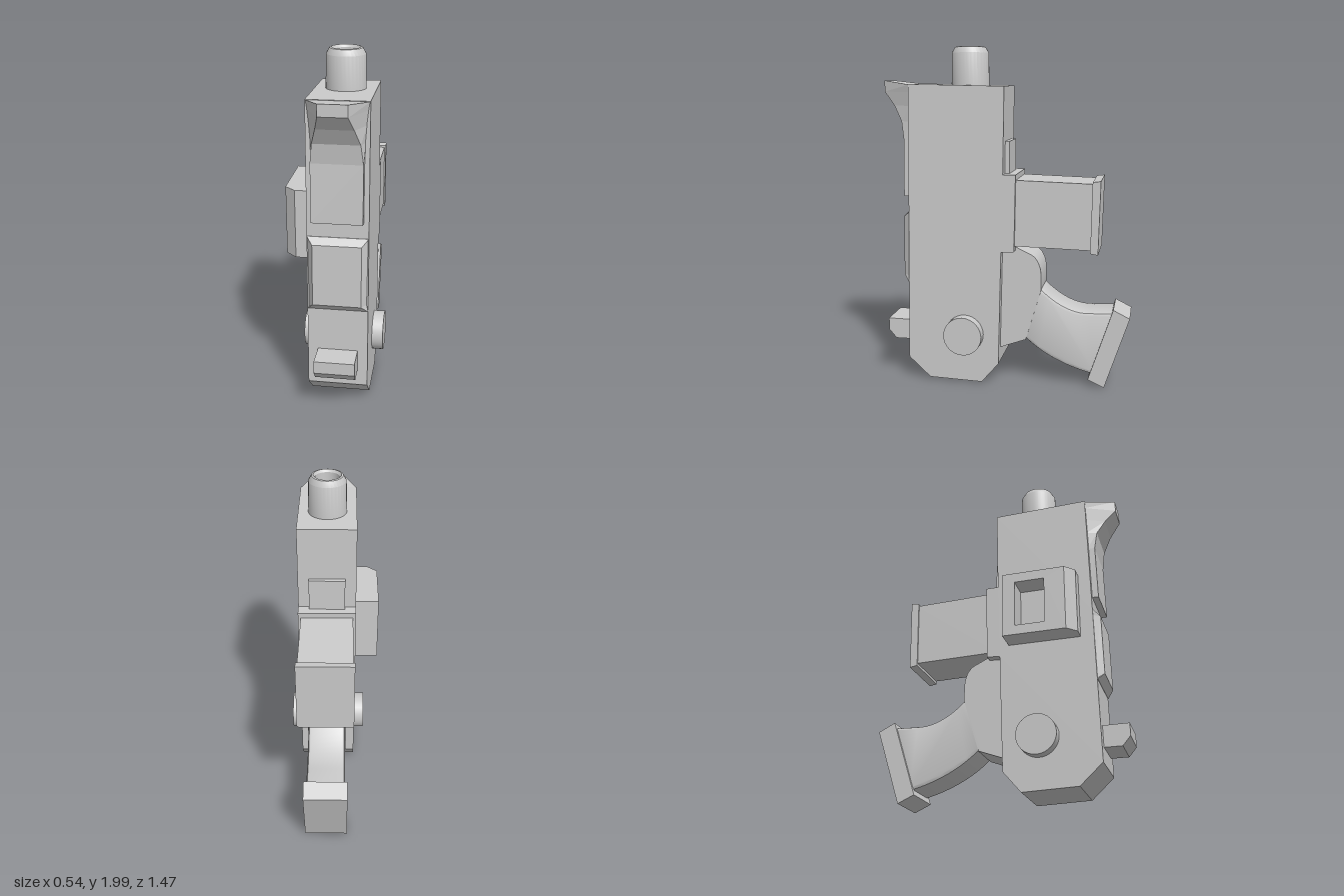
import * as THREE from 'three';
import { toCreasedNormals } from 'three/addons/utils/BufferGeometryUtils.js';

const CX = 0.035; // centre plane of the main body

export function createModel() {
  const model = new THREE.Group();
  const material = new THREE.MeshStandardMaterial({ color: 0xcccccc });
  const flat = new THREE.MeshStandardMaterial({ color: 0xcccccc, flatShading: true });

  const add = (name, geometry, x = 0, y = 0, z = 0, mat = material) => {
    const mesh = new THREE.Mesh(geometry, mat);
    mesh.name = name;
    mesh.position.set(x, y, z);
    model.add(mesh);
    return mesh;
  };
  const polygon = (points) => new THREE.Shape(points.map(([a, b]) => new THREE.Vector2(a, b)));

  // Extrude a side outline given in (z, y) to a width along x, with optional chamfered edges
  const sideSlab = (shape, width, bevel = 0) => {
    const geometry = new THREE.ExtrudeGeometry(shape, {
      depth: width - 2 * bevel, curveSegments: 10, bevelEnabled: bevel > 0,
      bevelThickness: bevel, bevelSize: bevel, bevelOffset: -bevel, bevelSegments: 2,
    });
    geometry.translate(0, 0, bevel - width / 2);
    geometry.rotateY(-Math.PI / 2);
    return toCreasedNormals(geometry, 0.6);
  };

  // Stack trapezoid sections: [y, front z, front half width, back half width, back y]
  const loft = (sections, backZ) => {
    const positions = [], index = [];
    for (const [y, z, front, back, backY = y] of sections) {
      positions.push(-back, backY, backZ, -front, y, z, front, y, z, back, backY, backZ);
    }
    const last = (sections.length - 1) * 4;
    for (let row = 0; row < last; row += 4) {
      for (let i = 0; i < 4; i++) {
        const a = row + i, b = row + (i + 1) % 4;
        index.push(a, b, b + 4, a, b + 4, a + 4);
      }
    }
    index.push(0, 2, 1, 0, 3, 2, last, last + 1, last + 2, last, last + 2, last + 3);
    const geometry = new THREE.BufferGeometry();
    geometry.setAttribute('position', new THREE.Float32BufferAttribute(positions, 3));
    geometry.setIndex(index);
    const result = geometry.toNonIndexed();
    result.computeVertexNormals();
    return result;
  };

  // Main housing, with the stepped collar on its back
  add('body', sideSlab(polygon([
    [0.562, 1.785], [0.575, 1.04], [0.59, 0.14], [0.46, 0.02], [0.14, 0.01], [0.037, 0.13],
    [0.02, 0.815], [-0.057, 0.82], [-0.066, 1.272], [0.008, 1.272], [0, 1.775],
  ]), 0.338), CX);
  add('backPlate', new THREE.BoxGeometry(0.21, 0.19, 0.04), CX, 1.365, 0);

  // Hollow tube on top
  const tube = [[0, 1.86], [0.07, 1.86], [0.07, 1.985], [0.08, 2], [0.09, 1.997], [0.108, 1.965], [0.112, 1.76]];
  const lathe = new THREE.LatheGeometry(tube.map(([r, y]) => new THREE.Vector2(r, y)).reverse(), 32);
  add('topTube', toCreasedNormals(lathe, 0.5), CX, 0, 0.232);

  // Flared spur on the upper front
  add('frontSpur', loft([
    [1.13, 0.61, 0.14, 0.14], [1.46, 0.604, 0.14, 0.142], [1.57, 0.62, 0.127, 0.146],
    [1.66, 0.67, 0.1, 0.152], [1.74, 0.735, 0.077, 0.16], [1.805, 0.735, 0.077, 0.166, 1.782],
  ], 0.56), CX, 0, 0, flat);

  // Chamfered panel and lug on the lower front
  add('frontPanel', loft([
    [0.61, 0.584, 0.168, 0.168], [0.65, 0.62, 0.134, 0.168],
    [1.005, 0.615, 0.134, 0.168], [1.04, 0.577, 0.168, 0.168],
  ], 0.57), CX, 0, 0, flat);
  add('frontLug', sideSlab(polygon([
    [0.55, 0.358], [0.735, 0.36], [0.735, 0.288], [0.69, 0.235], [0.55, 0.235],
  ]), 0.226), CX);

  // Round bosses on both sides
  for (const side of [-1, 1]) {
    const disc = new THREE.CylinderGeometry(0.115, 0.115, 0.08, 32);
    disc.rotateZ(Math.PI / 2);
    add(side > 0 ? 'leftBoss' : 'rightBoss', disc, CX + side * 0.193, 0.308, 0.243);
  }

  // Windowed block on the right side, with a chamfered front end
  const frame = polygon([[0.075, 0.877], [0.445, 0.877], [0.445, 1.27], [0.075, 1.27]]);
  frame.holes.push(polygon([[0.15, 0.935], [0.15, 1.212], [0.325, 1.212], [0.325, 0.935]]));
  add('sideFrame', sideSlab(frame, 0.137), -0.2015);
  const wedge = new THREE.ExtrudeGeometry(
    polygon([[-0.27, -0.445], [-0.21, -0.5], [-0.133, -0.5], [-0.133, -0.445]]),
    { depth: 0.393, bevelEnabled: false });
  wedge.rotateX(-Math.PI / 2);
  add('sideFrameEnd', wedge, 0, 0.877, 0);

  // Box projecting from the back, with its end plate
  add('rearBox', sideSlab(polygon([
    [0, 0.853], [0, 1.242], [-0.52, 1.228], [-0.515, 0.842],
  ]), 0.305), CX);
  add('rearBoxPlate', sideSlab(polygon([
    [-0.5, 0.826], [-0.508, 1.24], [-0.555, 1.246], [-0.545, 0.818],
  ]), 0.322), CX);

  // Handle root against the body
  const root = new THREE.Shape();
  root.moveTo(0.06, 0.22);
  root.lineTo(0.06, 0.81);
  root.lineTo(-0.06, 0.84);
  root.lineTo(-0.155, 0.795);
  root.quadraticCurveTo(-0.21, 0.76, -0.212, 0.66);
  root.lineTo(-0.212, 0.585);
  root.lineTo(-0.12, 0.275);
  root.lineTo(-0.1, 0.268);
  root.lineTo(0.03, 0.22);
  add('handleRoot', sideSlab(root, 0.235), CX);

  // Curved handle with softened edges
  const handle = new THREE.Shape();
  handle.moveTo(-0.1, 0.28);
  handle.lineTo(-0.1, 0.6);
  handle.lineTo(-0.212, 0.59);
  handle.quadraticCurveTo(-0.36, 0.45, -0.5, 0.46);
  handle.lineTo(-0.66, 0.465);
  handle.lineTo(-0.54, 0.075);
  handle.quadraticCurveTo(-0.28, 0.13, -0.12, 0.278);
  add('handle', sideSlab(handle, 0.225, 0.02), CX);
  add('handleCap', sideSlab(polygon([
    [-0.638, 0.488], [-0.735, 0.44], [-0.592, 0.008], [-0.495, 0.052],
  ]), 0.255), CX);

  return model;
}
